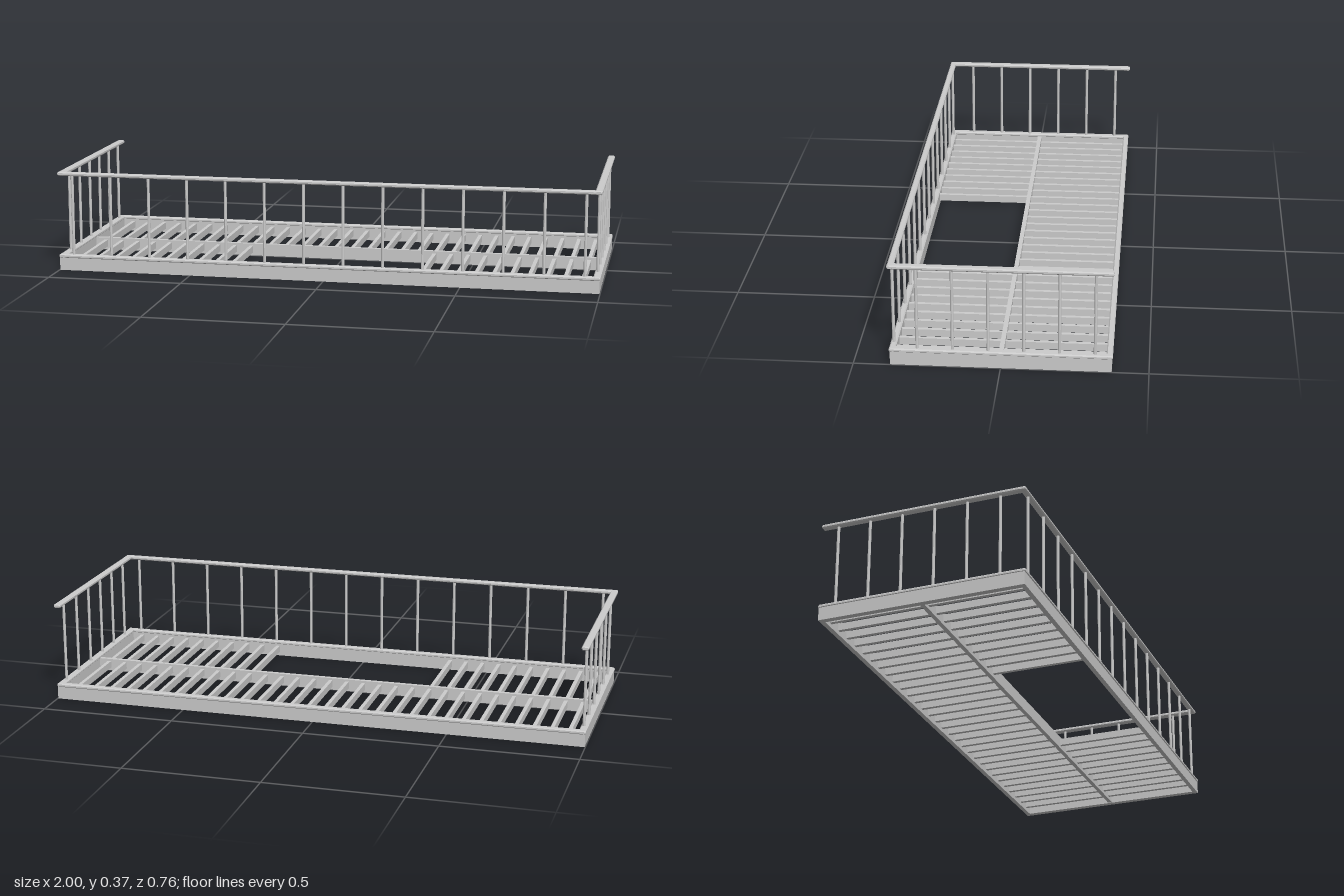
import * as THREE from 'three';

const mat = new THREE.MeshStandardMaterial({ color: 0xcccccc, flatShading: true });

export function createModel() {
  const root = new THREE.Group();
  root.name = 'balconyPlatform';

  function add(name, geo, x, y, z) {
    const m = new THREE.Mesh(geo, mat);
    m.name = name;
    m.position.set(x, y, z);
    root.add(m);
    return m;
  }
  const box = (name, w, h, d, x, y, z) => add(name, new THREE.BoxGeometry(w, h, d), x, y, z);

  // Chamfered bar with tapered ends, running along z (or x when alongX)
  function rail(name, length, width, x, y, z, alongX = false) {
    const a = width / 2, b = 0.007, c = 0.004;
    const profile = new THREE.Shape([
      [-a, -b + c], [-a + c, -b], [a - c, -b], [a, -b + c],
      [a, b - c], [a - c, b], [-a + c, b], [-a, b - c],
    ].map(([px, py]) => new THREE.Vector2(px, py)));
    const geo = new THREE.ExtrudeGeometry(profile, {
      depth: length - 0.008, bevelThickness: 0.004, bevelSize: 0.003, bevelOffset: -0.003, bevelSegments: 1,
    });
    geo.translate(0, 0, -(length - 0.008) / 2);
    if (alongX) geo.rotateY(Math.PI / 2);
    return add(name, geo, x, y, z);
  }

  const RAIL_LOW = 0.053, RAIL_TOP = 0.363;
  const SX = 0.987, SZ = 0.367;

  // Perimeter frame with its capping bar
  for (const s of [-1, 1]) {
    box('longFrameBeam', 1.996, 0.048, 0.017, 0, 0.024, s * 0.3665);
    box('sideFrameBeam', 0.022, 0.048, 0.72, s * 0.987, 0.024, 0);
    rail('longFrameCap', 2, 0.022, 0, RAIL_LOW, s * SZ, true);
    rail('sideFrameCap', 0.756, 0.026, s * SX, RAIL_LOW, 0);
  }

  // Central beam
  box('centreBeam', 1.96, 0.046, 0.016, 0, 0.025, 0);

  // Floor slats: full row at the back, front row leaves a hatch opening
  for (let i = 0; i < 30; i++) {
    const x = -0.936 + (i * 1.872) / 29;
    box('backSlat', 0.014, 0.026, 0.36, x, 0.027, -0.183);
    if (i < 10 || i > 19) box('frontSlat', 0.014, 0.026, 0.36, x, 0.027, 0.183);
  }

  // Handrails on the front and both sides; the back is open
  rail('frontHandrail', 2, 0.022, 0, RAIL_TOP, SZ, true);
  for (const s of [-1, 1]) rail('sideHandrail', 0.756, 0.026, s * SX, RAIL_TOP, 0);

  // Balusters
  const postGeo = new THREE.CylinderGeometry(0.0055, 0.0055, 0.306, 8);
  for (let i = 0; i < 14; i++) add('frontBaluster', postGeo, -0.945 + (i * 1.89) / 13, 0.208, SZ);
  for (const s of [-1, 1]) {
    for (let i = 0; i < 6; i++) add('sideBaluster', postGeo, s * 0.985, 0.208, 0.283 - i * 0.1203);
  }

  return root;
}
